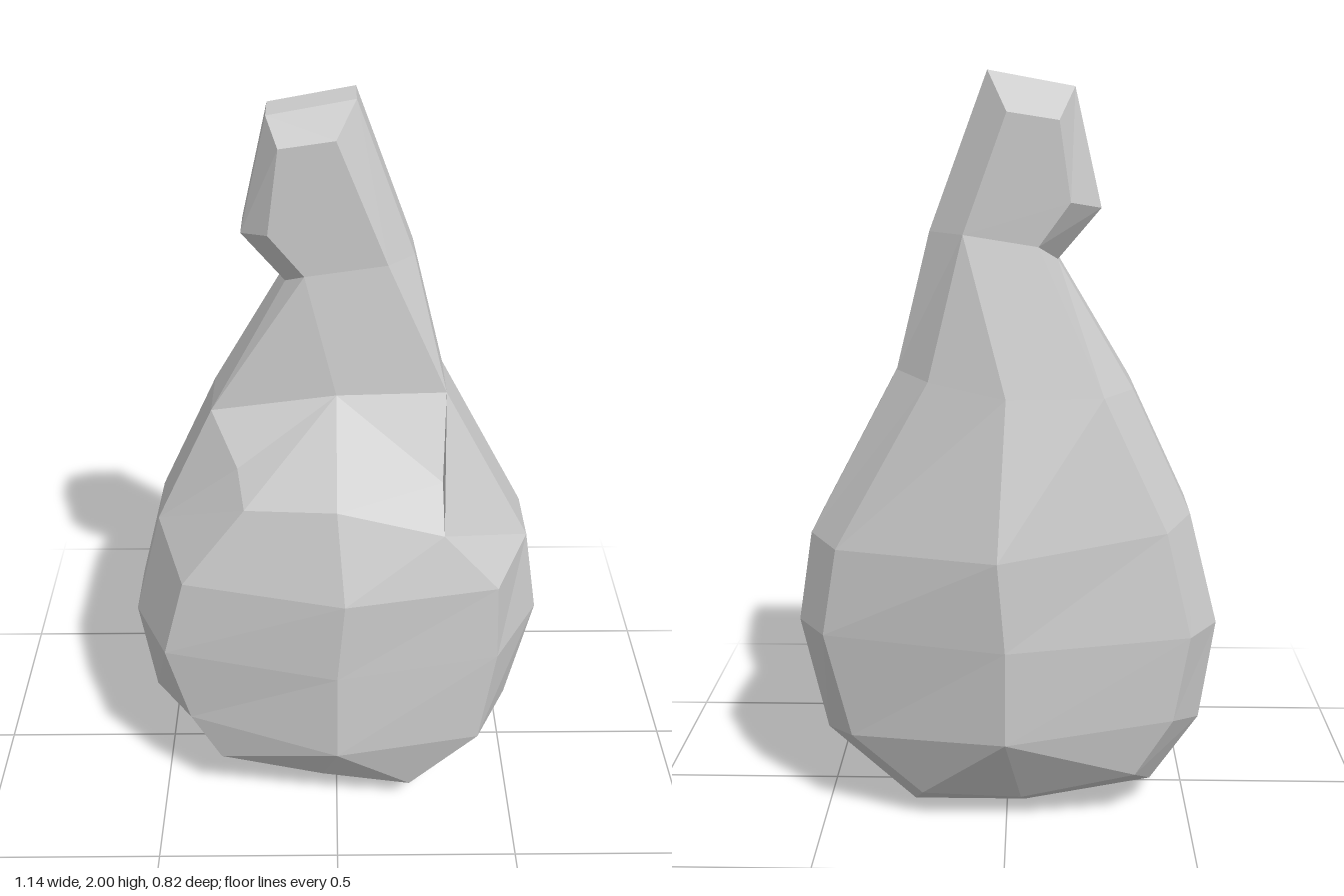
import * as THREE from 'three';

const at = (z, pts) => pts.map(([x, y, pz = z]) => new THREE.Vector3(x, y, pz));

// Collects triangles, dropping the ones that collapse where columns merge
class Skin {
  constructor() { this.points = []; }
  tri(a, b, c) {
    if (a.equals(b) || b.equals(c) || a.equals(c)) return;
    this.points.push(a, b, c);
  }
  // Joins neighbouring columns of points with quads
  columns(cols, flip = false) {
    for (let c = 0; c + 1 < cols.length; c++) {
      const [A, B] = flip ? [cols[c + 1], cols[c]] : [cols[c], cols[c + 1]];
      for (let r = 0; r + 1 < A.length; r++) {
        this.tri(A[r], B[r], B[r + 1]);
        this.tri(A[r], B[r + 1], A[r + 1]);
      }
    }
  }
  // Fills an outline that faces +z (facing 1) or -z (facing -1)
  fill(outline, facing) {
    const flat = outline.map(p => new THREE.Vector2(p.x, p.y));
    for (const [i, j, k] of THREE.ShapeUtils.triangulateShape(flat, [])) {
      const ccw = flat[j].clone().sub(flat[i]).cross(flat[k].clone().sub(flat[i])) > 0;
      const [a, b, c] = [outline[i], outline[j], outline[k]];
      if (ccw === facing > 0) this.tri(a, b, c); else this.tri(a, c, b);
    }
  }
  mesh(name) {
    const geometry = new THREE.BufferGeometry().setFromPoints(this.points);
    geometry.computeVertexNormals();
    const mesh = new THREE.Mesh(geometry,
      new THREE.MeshStandardMaterial({ color: 0xcccccc, flatShading: true }));
    mesh.name = name;
    return mesh;
  }
}

export function createModel() {
  // Side outline, counter-clockwise from the underside: 0-5 right of the picture plane,
  // 6-10 the neck and its hooked tip, 11-15 the other flank
  const outline = [[-0.05, 0], [0.26, 0], [0.5, 0.22], [0.57, 0.54], [0.53, 0.79], [0.29, 1.24],
    [0.2, 1.6], [0.05, 2], [-0.17, 1.96], [-0.24, 1.66], [-0.13, 1.53],
    [-0.33, 1.19], [-0.49, 0.85], [-0.57, 0.54], [-0.53, 0.26], [-0.4, 0.07]];
  const isNeck = i => i >= 6 && i <= 10;
  const front = at(0, outline.map(([x, y], i) => [x, y, isNeck(i) ? -0.01 : 0.06]));
  const back = at(-0.12, outline);
  const backInner = at(-0.24, [[-0.04, 0.07], [0.23, 0.08], [0.42, 0.25], [0.49, 0.54], [0.45, 0.78],
    [0.2, 1.23], [0.11, 1.6, -0.21], [0, 1.9, -0.21], [-0.13, 1.88, -0.21], [-0.16, 1.68, -0.21],
    [-0.08, 1.57, -0.21], [-0.25, 1.19], [-0.42, 0.83], [-0.49, 0.54], [-0.45, 0.3], [-0.35, 0.14]]);

  // Centre ridges of the belly, bottom to top
  const [f0, f1, f2, f3, f4, f5] = at(0.41,
    [[-0.04, 0.11, 0.29], [0, 0.29], [0, 0.56], [0.02, 0.8], [0, 1.04, 0.33], [0, 1.26, 0.11]]);
  const [b1, b2, b3, b5] = at(-0.41, [[0, 0.3, -0.4], [0, 0.56], [0.02, 0.8], [0, 1.2, -0.31]]);
  const frontRidge = [f0, f1, f1, f2, f3, f4, f5, f5];
  const backRidge = [backInner[0], b1, b1, b2, b3, b3, b5, b5];

  // Body: columns running from the front ridge round each flank to the back ridge
  const body = new Skin();
  const flanks = [
    { rows: [0, 1, 2, 3, 4, 4, 5, 5], flip: false,
      inner: [[0.21, 0.07], [0.4, 0.25], [0.44, 0.54], [0.43, 0.77], [0.28, 0.94], [0.28, 1.03, 0.17]] },
    { rows: [0, 15, 14, 13, 12, 12, 11, 11], flip: true,
      inner: [[-0.33, 0.18], [-0.41, 0.33], [-0.47, 0.56], [-0.41, 0.79], [-0.24, 1.01, 0.27], [-0.26, 1.07, 0.16]] },
  ];
  for (const { rows, flip, inner } of flanks) {
    const pick = loop => rows.map(i => loop[i]);
    const frontInner = [f0, ...at(0.29, inner), front[rows[7]]];
    body.columns([frontRidge, frontInner, pick(front), pick(back), pick(backInner), backRidge], flip);
  }

  // Neck: bevelled rim from shoulder to shoulder, closed by a front and a back face
  const neck = new Skin();
  const rim = loop => loop.slice(5, 12);
  const neckFront = [front[5],
    ...at(0.06, [[0.13, 1.6], [0, 1.92], [-0.14, 1.9], [-0.17, 1.68], [-0.08, 1.57]]), front[11]];
  neck.columns([neckFront, rim(front), rim(back), rim(backInner)]);
  neck.fill([f5, ...neckFront], 1);
  neck.fill(backInner.slice(6, 11), -1);
  neck.fill([b5, backInner[5], backInner[6], backInner[10], backInner[11]], -1);

  const group = new THREE.Group();
  group.name = 'gourd';
  group.add(body.mesh('body'), neck.mesh('neck'));
  return group;
}
